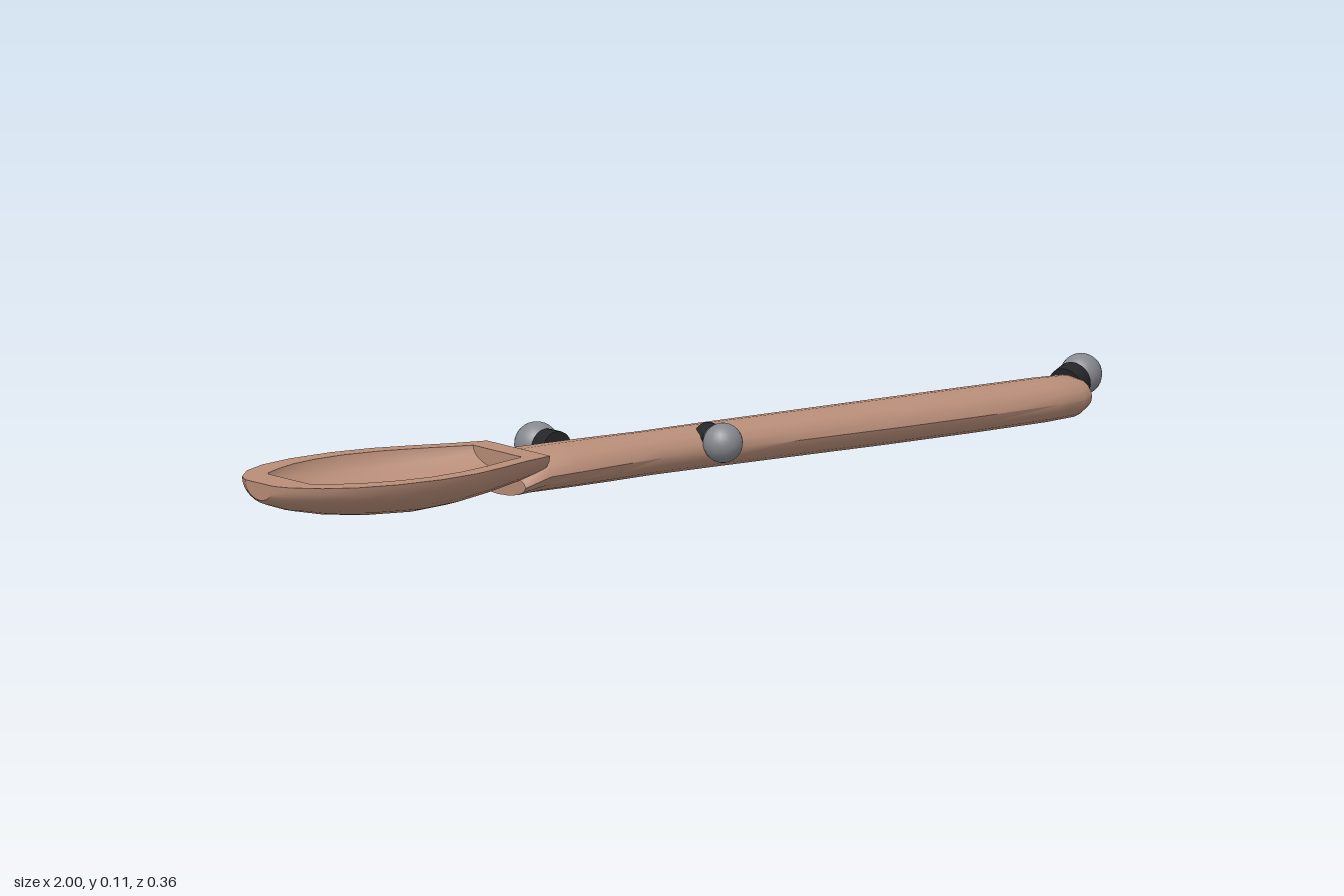
import * as THREE from 'three';
import { toCreasedNormals } from 'three/addons/utils/BufferGeometryUtils.js';

const wood = new THREE.MeshStandardMaterial({ color: 0xb88d78 });
wood.name = 'wood';
const black = new THREE.MeshStandardMaterial({ color: 0x242628 });
black.name = 'black';
const grey = new THREE.MeshStandardMaterial({ color: 0x85888e });
grey.name = 'grey';

const TOP = 0.085; // height of the rim and of the handle's top

// Triangles of a skin stretched over successive rows of points
function skin(rows) {
  const out = [];
  for (let i = 0; i < rows.length - 1; i++) {
    for (let j = 0; j < rows[i].length - 1; j++) {
      const a = rows[i][j], b = rows[i][j + 1], c = rows[i + 1][j], d = rows[i + 1][j + 1];
      out.push(...a, ...b, ...c, ...b, ...d, ...c);
    }
  }
  return out;
}

function makeMesh(name, positions, material, crease) {
  const geometry = new THREE.BufferGeometry();
  geometry.setAttribute('position', new THREE.Float32BufferAttribute(positions, 3));
  const mesh = new THREE.Mesh(toCreasedNormals(geometry, crease), material);
  mesh.name = name;
  return mesh;
}

// Half ellipse hanging from the rim, from +z to -z
function arc(x, halfWidth, bottom) {
  const row = [];
  for (let k = 0; k <= 14; k++) {
    const a = (k / 14) * Math.PI;
    row.push([x, TOP - (TOP - bottom) * Math.sin(a), halfWidth * Math.cos(a)]);
  }
  return row;
}
const flat = row => row.map(([x, , z]) => [x, TOP, z]);

// Spoon bowl: outer shell, hollow and flat rim
function makeBowl() {
  // x, half width, bottom height
  const outer = [
    [-1, 0.045, 0.052], [-0.985, 0.075, 0.042], [-0.94, 0.12, 0.027], [-0.88, 0.152, 0.015],
    [-0.8, 0.172, 0.005], [-0.7, 0.178, 0], [-0.61, 0.167, 0.004], [-0.53, 0.143, 0.012],
    [-0.46, 0.118, 0.022], [-0.39, 0.1, 0.035],
  ].map(s => arc(...s));
  const inner = [
    [-0.93, 0.067, 0.066], [-0.92, 0.077, 0.057], [-0.88, 0.1, 0.045], [-0.83, 0.122, 0.033],
    [-0.77, 0.137, 0.025], [-0.7, 0.142, 0.021], [-0.62, 0.133, 0.023], [-0.55, 0.114, 0.031],
    [-0.48, 0.09, 0.042], [-0.44, 0.077, 0.05],
  ].map(s => arc(...s));
  const n = outer.length - 1;
  const shell = [
    ...outer, flat(outer[n]), flat(inner[n]),
    ...[...inner].reverse(), flat(inner[0]), flat(outer[0]), outer[0],
  ];
  const leftRim = outer.map((row, i) => [inner[i][0], row[0]]);
  const rightRim = outer.map((row, i) => [row[14], inner[i][14]]);
  return makeMesh('bowl', [...skin(shell), ...skin(leftRim), ...skin(rightRim)], wood, 0.6);
}

// Handle: oval sections, flared at the bowl and rounded off at the end
function makeHandle() {
  // x, half width, bottom, top, z centre
  const sections = [
    [-0.44, 0.088, 0.003, 0.05, 0.002], [-0.385, 0.094, 0.003, 0.084, 0.003],
    [-0.3, 0.085, 0.002, 0.085, 0.003], [-0.2, 0.072, 0.002, 0.086, 0.005],
    [-0.1, 0.061, 0.003, 0.086, 0.006], [0.05, 0.062, 0.003, 0.087, 0.007],
    [0.2, 0.067, 0.003, 0.087, 0.008], [0.45, 0.071, 0.002, 0.087, 0.008],
    [0.65, 0.07, 0.002, 0.087, 0.007], [0.83, 0.064, 0.003, 0.087, 0.006],
    [0.895, 0.059, 0.006, 0.086, 0.006], [0.92, 0.046, 0.019, 0.077, 0.006],
  ];
  const rows = sections.map(([x, w, bottom, top, zc]) => {
    const row = [];
    for (let k = 0; k <= 16; k++) {
      const a = ((k % 16) / 16) * Math.PI * 2;
      row.push([x, (top + bottom) / 2 - ((top - bottom) / 2) * Math.sin(a), zc + w * Math.cos(a)]);
    }
    return row;
  });
  const centre = ([x, , , , zc], y) => Array(17).fill([x, y, zc]);
  const last = sections.length - 1;
  const all = [centre(sections[0], 0.027), ...rows, centre(sections[last], 0.048)];
  return makeMesh('handle', skin(all), wood, 0.6);
}

// Ball on a short collar that runs from the handle to the ball
function makeKnob(name, from, ball, radius, collarRadius) {
  const group = new THREE.Group();
  group.name = name;
  const start = new THREE.Vector3(...from), end = new THREE.Vector3(...ball);
  const dir = end.clone().sub(start);
  const length = dir.length();
  const profile = [
    [0, 0], [collarRadius, 0], [collarRadius, length * 0.55],
    [collarRadius * 0.8, length * 0.7], [collarRadius * 0.8, length], [0, length],
  ].map(p => new THREE.Vector2(...p));
  const collarGeometry = toCreasedNormals(new THREE.LatheGeometry(profile, 20), 0.5);
  const collar = new THREE.Mesh(collarGeometry, black);
  collar.name = 'collar';
  collar.position.copy(start);
  collar.quaternion.setFromUnitVectors(new THREE.Vector3(0, 1, 0), dir.normalize());
  const sphere = new THREE.Mesh(new THREE.SphereGeometry(radius, 24, 16), grey);
  sphere.name = 'ball';
  sphere.position.copy(end);
  group.add(collar, sphere);
  return group;
}

export function createModel() {
  const model = new THREE.Group();
  model.name = 'spoon';
  model.add(
    makeBowl(),
    makeHandle(),
    makeKnob('frontKnob', [0.028, 0.063, 0.03], [0.028, 0.062, 0.084], 0.038, 0.031),
    makeKnob('backKnob', [-0.262, 0.062, -0.05], [-0.262, 0.062, -0.115], 0.043, 0.034),
    makeKnob('endKnob', [0.905, 0.06, -0.012], [0.96, 0.074, -0.037], 0.04, 0.036),
  );
  return model;
}
